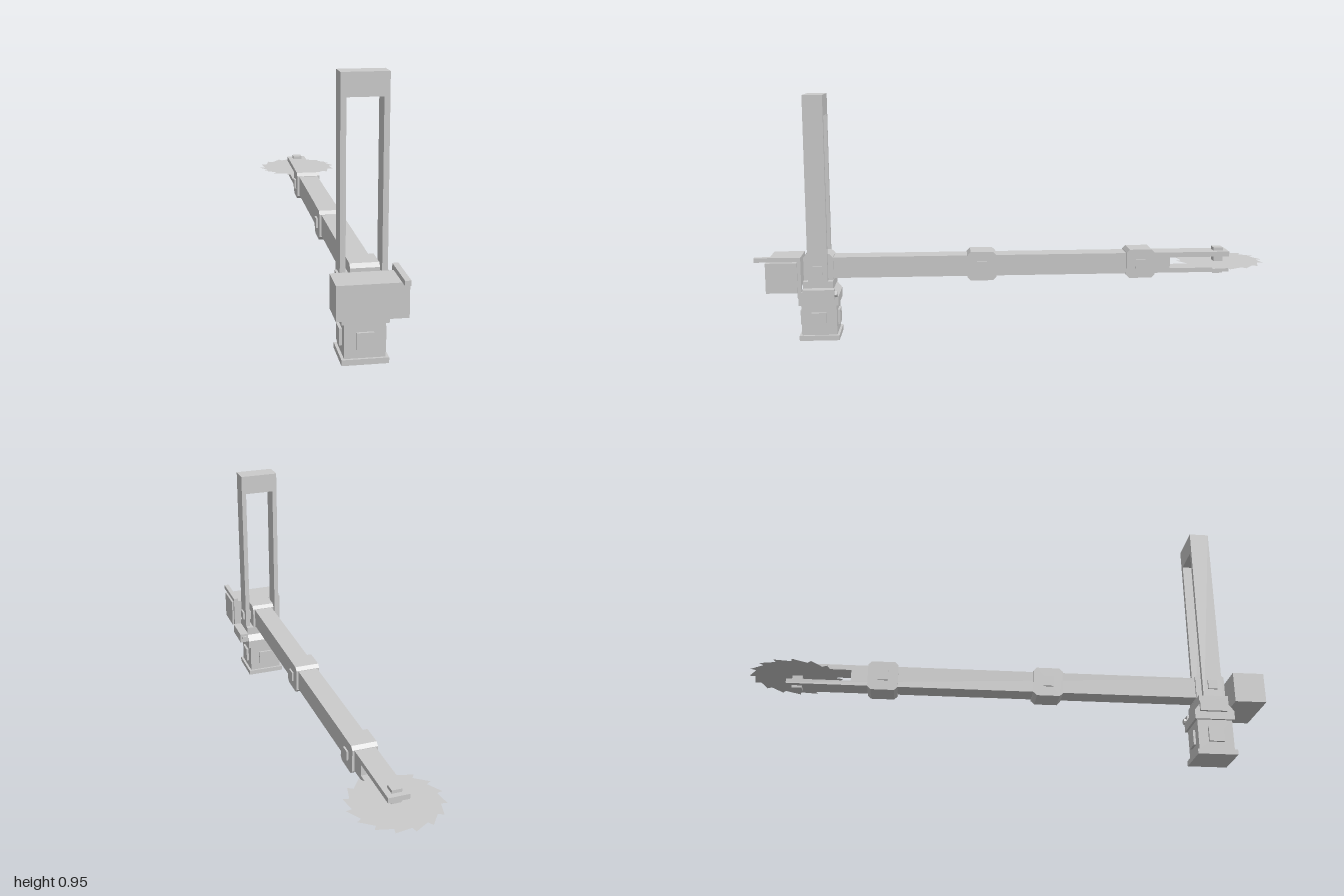
import * as THREE from 'three';

const mat = new THREE.MeshStandardMaterial({ color: 0xcccccc, flatShading: true });
const thin = new THREE.MeshStandardMaterial({ color: 0xcccccc, flatShading: true, side: THREE.DoubleSide });

const PIVOT_Z = 0.765; // column and rear joint
const ARM_Y = 0.28;    // arm centre line

export function createModel() {
  const model = new THREE.Group();
  model.name = 'sawArm';

  const add = (name, geometry, parent = model, material = mat) => {
    const mesh = new THREE.Mesh(geometry, material);
    mesh.name = name;
    parent.add(mesh);
    return mesh;
  };
  // Box given by its limits on each axis
  const box = (name, [x0, x1], [y0, y1], [z0, z1], parent = model) => {
    const mesh = add(name, new THREE.BoxGeometry(x1 - x0, y1 - y0, z1 - z0), parent);
    mesh.position.set((x0 + x1) / 2, (y0 + y1) / 2, (z0 + z1) / 2);
    return mesh;
  };
  // Profile of [z, y] points, extruded along x and centred on x = 0
  const sideProfile = (name, points, width, parent = model) => {
    const shape = new THREE.Shape(points.map(([z, y]) => new THREE.Vector2(-z, y)));
    const geometry = new THREE.ExtrudeGeometry(shape, { depth: width, bevelEnabled: false });
    geometry.translate(0, 0, -width / 2).rotateY(Math.PI / 2);
    return add(name, geometry, parent);
  };

  // Base column with a square pad on each face
  const base = new THREE.Group();
  base.name = 'base';
  base.position.z = PIVOT_Z;
  model.add(base);
  box('foot', [-0.079, 0.079], [0, 0.02], [-0.077, 0.077], base);
  box('column', [-0.069, 0.069], [0.02, 0.14], [-0.068, 0.068], base);
  box('sidePads', [-0.079, 0.079], [0.052, 0.11], [-0.029, 0.029], base);
  box('endPads', [-0.029, 0.029], [0.052, 0.11], [-0.077, 0.077], base);
  sideProfile('collar', [
    [-0.077, 0.14], [0.077, 0.14], [0.077, 0.175], [0.057, 0.2],
    [0.057, 0.235], [-0.057, 0.235], [-0.057, 0.2], [-0.077, 0.175],
  ], 0.158, base);
  box('collarSidePlate', [-0.09, -0.079], [0.17, 0.21], [-0.057, 0.048], base);

  // Tall frame: two uprights joined by a top bar
  const frame = new THREE.Shape([
    [-0.079, 0.2], [-0.06, 0.2], [-0.06, 0.873], [0.06, 0.873],
    [0.06, 0.2], [0.079, 0.2], [0.079, 0.952], [-0.079, 0.952],
  ].map(([x, y]) => new THREE.Vector2(x, y)));
  add('tallFrame', new THREE.ExtrudeGeometry(frame, { depth: 0.076, bevelEnabled: false }))
    .position.z = PIVOT_Z - 0.038;
  box('framePivotPads', [-0.087, 0.087], [0.262, 0.298], [PIVOT_Z - 0.018, PIVOT_Z + 0.018]);

  // Counterweight box on the front
  box('counterweight', [-0.118, 0.115], [0.2, 0.317], [0.838, 0.958]);

  // Lever: strip over the box, drop behind it, and run into the side block
  box('leverHandle', [0.088, 0.108], [0.32, 0.337], [0.825, 1]);
  box('leverDrop', [0.088, 0.108], [0.18, 0.32], [0.825, 0.84]);
  box('leverRod', [0.088, 0.108], [0.18, 0.2], [0.8, 0.84]);
  box('leverBlock', [0.079, 0.115], [0.17, 0.21], [0.7, 0.82]);
  const bolt = add('leverBolt', new THREE.CylinderGeometry(0.012, 0.012, 0.012, 8));
  bolt.rotation.x = Math.PI / 2;
  bolt.position.set(0.097, 0.19, 0.695);

  // Long beam with a forked end
  sideProfile('beam', [
    [PIVOT_Z + 0.04, 0.24], [PIVOT_Z + 0.04, 0.322], [-0.86, 0.322], [-0.86, 0.302],
    [-0.62, 0.302], [-0.62, 0.258], [-0.86, 0.258], [-0.86, 0.24],
  ].reverse(), 0.08);

  // Chamfered sleeves around the beam
  const h = 0.057, c = 0.044;
  const octagon = [[-c, -h], [c, -h], [h, -c], [h, c], [c, h], [-c, h], [-h, c], [-h, -c]];
  for (const z of [PIVOT_Z, 0.13, -0.5]) {
    const joint = new THREE.Group();
    joint.name = 'joint';
    joint.position.set(0, ARM_Y, z);
    model.add(joint);
    sideProfile('sleeve', octagon, 0.098, joint);
    box('sleevePads', [-0.056, 0.056], [-0.019, 0.019], [-0.019, 0.019], joint);
  }

  // Square axle through the fork
  box('axle', [-0.019, 0.019], [0.231, 0.335], [-0.84, -0.802]);

  // Flat saw blade
  const teeth = 16, blade = new THREE.Shape();
  for (let i = 0; i < teeth; i++) {
    const a = (i / teeth) * Math.PI * 2;
    const tip = [0.175 * Math.cos(a), 0.175 * Math.sin(a)];
    const rootAngle = a + 0.03;
    const root = [0.153 * Math.cos(rootAngle - 0.06), 0.153 * Math.sin(rootAngle - 0.06)];
    if (i === 0) blade.moveTo(...root);
    else blade.lineTo(...root);
    blade.lineTo(...tip);
  }
  blade.closePath();
  const disc = add('sawBlade', new THREE.ShapeGeometry(blade), model, thin);
  disc.rotation.x = -Math.PI / 2;
  disc.position.set(0, ARM_Y, -0.827);

  return model;
}
